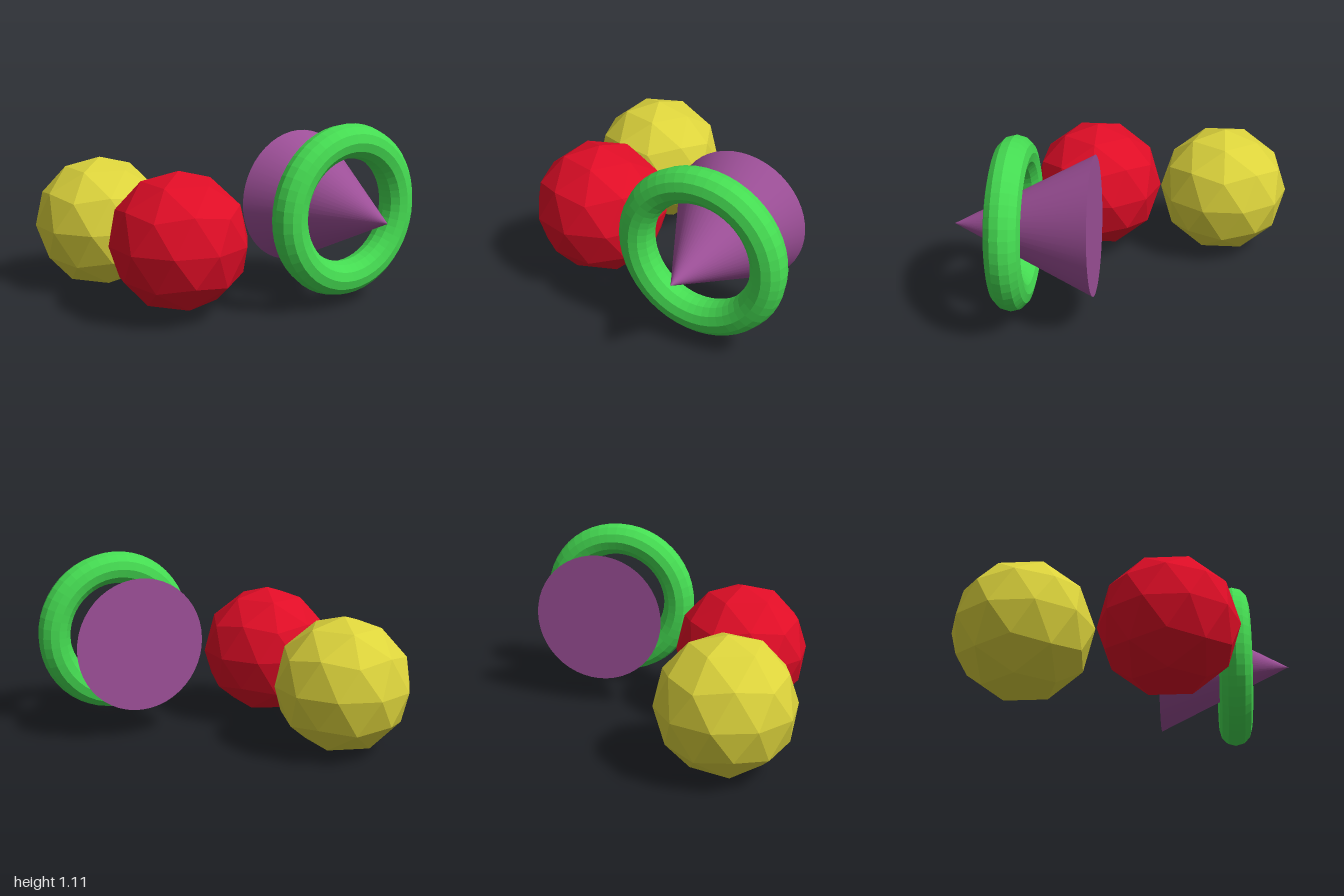
import * as THREE from 'three';

const material = (name, color) => {
  const m = new THREE.MeshStandardMaterial({ color });
  m.name = name;
  return m;
};

export function createModel() {
  const group = new THREE.Group();
  const radius = 0.415;

  const add = (name, geometry, mat, x, y, z) => {
    const mesh = new THREE.Mesh(geometry, mat);
    mesh.name = name;
    mesh.position.set(x, y, z);
    group.add(mesh);
    return mesh;
  };

  // Faceted balls: icosphere turned so a corner of the icosahedron is the top pole
  const ballGeometry = new THREE.IcosahedronGeometry(radius, 1);
  ballGeometry.rotateZ(-Math.atan(2 / (1 + Math.sqrt(5))));
  // Non-indexed facets with flat normals
  ballGeometry.computeVertexNormals();
  add('redBall', ballGeometry, material('red', 0xe00d26), -0.49, 0.456, 0.245);
  add('yellowBall', ballGeometry, material('yellow', 0xddd43c), -0.555, 0.418, -0.585);

  // Ring: upright, faceted, axis along z
  const ringGeometry = new THREE.TorusGeometry(radius, 0.104, 12, 48).toNonIndexed();
  ringGeometry.computeVertexNormals();
  add('ring', ringGeometry, material('green', 0x45dc52), 0.427, 0.593, 0.64);

  // Cone: smooth sides, tip forward through the ring, dipping slightly
  const coneGeometry = new THREE.ConeGeometry(radius, 2 * radius, 48);
  const cone = add('cone', coneGeometry, material('purple', 0x9c4f97), 0.435, 0.589, 0.583);
  cone.rotation.x = Math.PI / 2 + 0.02;

  return group;
}
